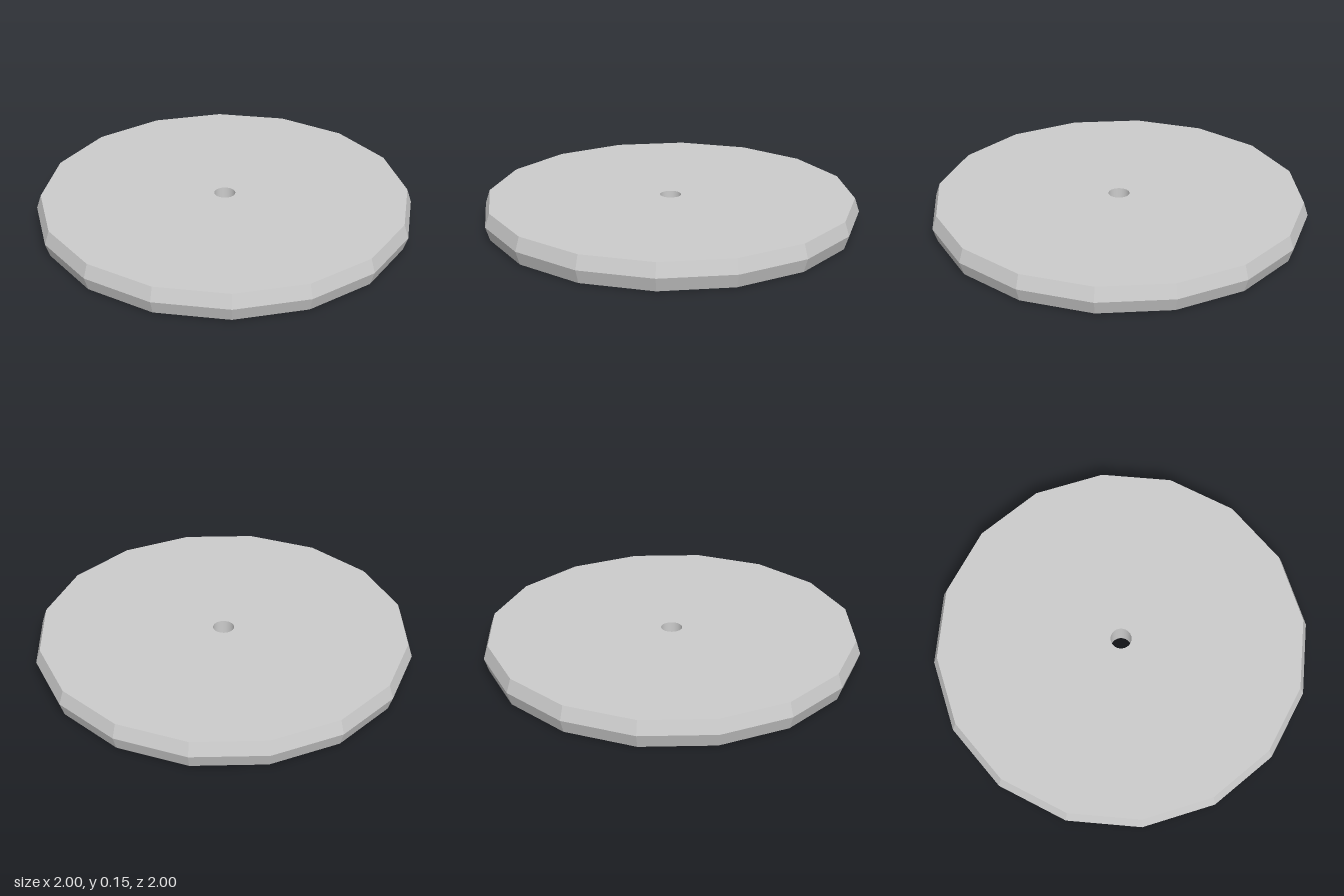
import * as THREE from 'three';

const SIDES = 16, BORE_SIDES = 32;
const HEIGHT = 0.146, RIM = 1, FACE = 0.976, BORE = 0.056;

// Points of a regular polygon with corners on the axes
function ring(radius, count) {
  return Array.from({ length: count }, (_, i) => {
    const a = (i / count) * Math.PI * 2;
    return new THREE.Vector2(Math.cos(a) * radius, Math.sin(a) * radius);
  });
}

export function createModel() {
  const group = new THREE.Group();
  group.name = 'disc';
  const flat = new THREE.MeshStandardMaterial({ color: 0xcccccc, flatShading: true });
  const smooth = new THREE.MeshStandardMaterial({ color: 0xcccccc });

  const add = (name, geometry, material) => {
    const mesh = new THREE.Mesh(geometry, material);
    mesh.name = name;
    group.add(mesh);
    return mesh;
  };

  // Faceted rim, widest at mid height
  const rimProfile = [[FACE, 0], [RIM, HEIGHT / 2], [FACE, HEIGHT]].map(p => new THREE.Vector2(...p));
  add('rim', new THREE.LatheGeometry(rimProfile, SIDES), flat);

  // Round centre hole, facing inwards
  const boreProfile = [new THREE.Vector2(BORE, HEIGHT), new THREE.Vector2(BORE, 0)];
  add('bore', new THREE.LatheGeometry(boreProfile, BORE_SIDES), smooth);

  // Flat top and bottom faces, pierced by the hole
  const outline = new THREE.Shape(ring(FACE, SIDES));
  outline.holes.push(new THREE.Path(ring(BORE, BORE_SIDES)));
  const face = new THREE.ShapeGeometry(outline);
  add('topFace', face.clone().rotateX(-Math.PI / 2).translate(0, HEIGHT, 0), flat);
  add('bottomFace', face.clone().rotateX(Math.PI / 2), flat);

  return group;
}
